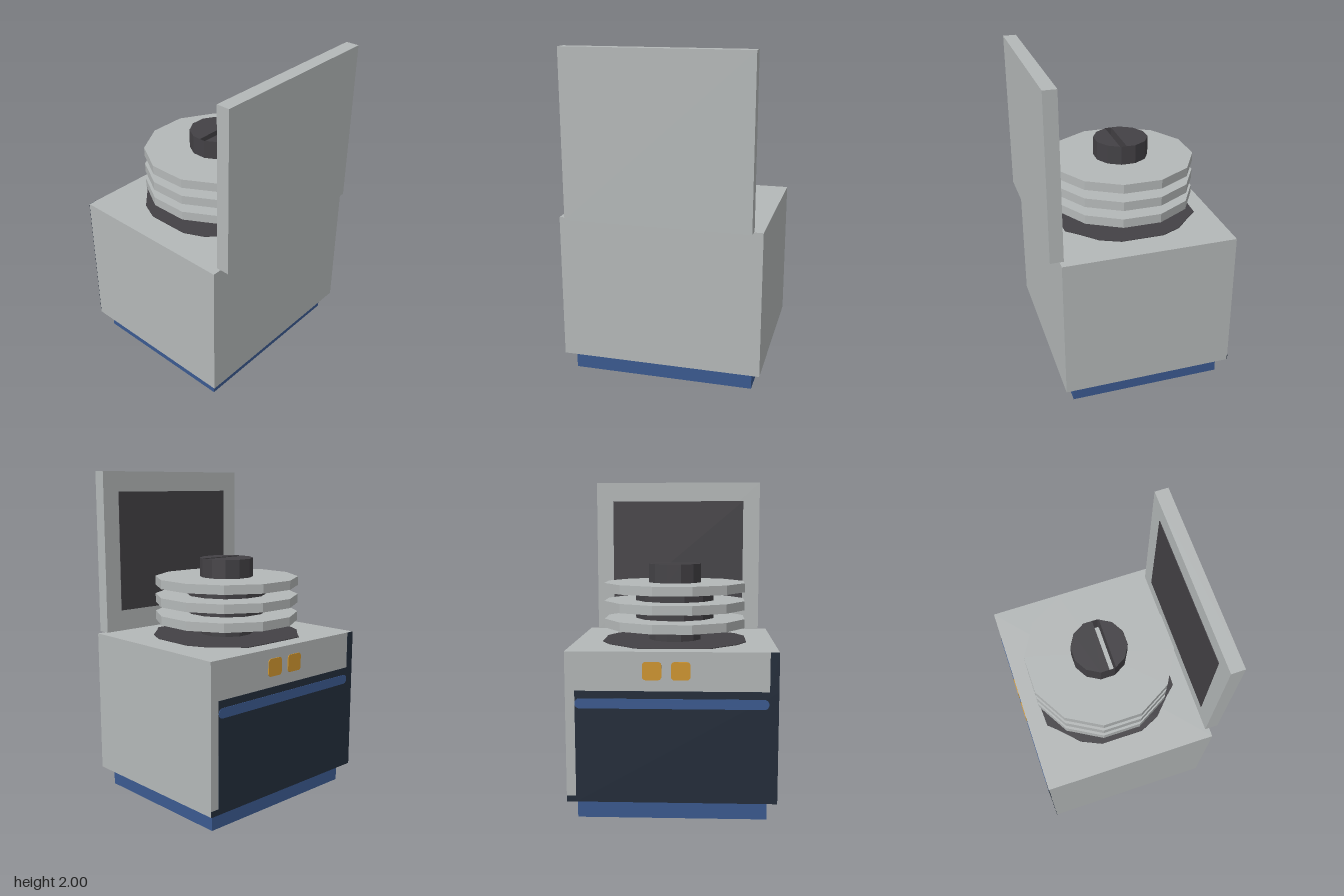
import * as THREE from 'three';

const mat = (name, color) => {
  const m = new THREE.MeshStandardMaterial({ color, side: THREE.DoubleSide, flatShading: true });
  m.name = name;
  return m;
};

export function createModel() {
  const grey = mat('light grey', 0xb4b8b8);
  const dark = mat('charcoal', 0x434145);
  const navy = mat('navy', 0x232d3b);
  const blue = mat('blue', 0x3b5a90);
  const amber = mat('amber', 0xd0962f);

  const model = new THREE.Group();
  const add = (name, geo, material, x = 0, y = 0, z = 0) => {
    const mesh = new THREE.Mesh(geo, material);
    mesh.name = name;
    mesh.position.set(x, y, z);
    model.add(mesh);
    return mesh;
  };
  const toShape = pts => new THREE.Shape(pts.map(p => new THREE.Vector2(p[0], p[1])));

  // Box without the listed faces (0 +x, 1 -x, 2 +y, 3 -y, 4 +z, 5 -z)
  const openBox = (w, h, d, skip) => {
    const geo = new THREE.BoxGeometry(w, h, d);
    const index = Array.from(geo.index.array);
    geo.setIndex(index.filter((v, i) => !skip.includes(Math.floor(i / 6))));
    geo.clearGroups();
    return geo;
  };

  // Horizontal slab from an (x, z) outline, rising from its origin
  const slab = (pts, height) => {
    const geo = new THREE.ExtrudeGeometry(toShape(pts.map(([x, z]) => [x, -z])),
      { depth: height, bevelEnabled: false });
    return geo.rotateX(-Math.PI / 2);
  };

  // Hollow cabinet and plinth, open underneath
  add('cabinet', openBox(1.22, 0.885, 1.055, [3]), grey, 0, 0.5575, -0.0275);
  add('plinth', openBox(1.11, 0.115, 0.945, [2, 3]), blue, 0, 0.0575, -0.0275);
  const rim = toShape([[-0.61, -0.5275], [0.61, -0.5275], [0.61, 0.5275], [-0.61, 0.5275]]);
  rim.holes.push(toShape([[-0.555, -0.4725], [-0.555, 0.4725], [0.555, 0.4725], [0.555, -0.4725]]));
  add('cabinetUnderside', new THREE.ShapeGeometry(rim).rotateX(Math.PI / 2), grey, 0, 0.115, -0.0275);

  // Upright lid with its dark inner panel
  add('lid', new THREE.BoxGeometry(1.11, 1, 0.08), grey, 0, 1.5, 0.515);
  add('lidPanel', new THREE.BoxGeometry(0.888, 0.745, 0.006), dark, 0, 1.503, 0.474);

  // Oven door and its margins on the back face
  const back = -0.555;
  const plate = (name, x0, x1, y0, y1, material) =>
    add(name, new THREE.BoxGeometry(x1 - x0, y1 - y0, 0.004), material, (x0 + x1) / 2, (y0 + y1) / 2, back);
  plate('door', -0.61, 0.555, 0.115, 0.773, navy);
  plate('doorSideStrip', -0.61, -0.558, 0.773, 1, navy);
  plate('doorBottomStrip', 0.555, 0.61, 0.115, 0.15, navy);

  const roundedPlate = (name, cx, cy, w, h, r, material) => {
    const s = new THREE.Shape();
    const a = w / 2 - r, b = h / 2 - r;
    s.absarc(a, b, r, 0, Math.PI / 2);
    s.absarc(-a, b, r, Math.PI / 2, Math.PI);
    s.absarc(-a, -b, r, Math.PI, Math.PI * 1.5);
    s.absarc(a, -b, r, Math.PI * 1.5, Math.PI * 2);
    const geo = new THREE.ExtrudeGeometry(s, { depth: 0.006, bevelEnabled: false, curveSegments: 4 });
    add(name, geo, material, cx, cy, back - 0.005);
  };
  roundedPlate('doorHandle', 0, 0.7, 1.11, 0.058, 0.028, blue);
  for (const x of [0.112, -0.053]) roundedPlate('button', x, 0.89, 0.11, 0.105, 0.02, amber);

  // Twelve-sided stack on the cabinet top
  const zc = -0.03;
  const drum = (name, r, y0, y1, material, open = false) => {
    const geo = new THREE.CylinderGeometry(r, r, y1 - y0, 12, 1, open).rotateY(Math.PI / 12);
    add(name, geo, material, 0, (y0 + y1) / 2, zc);
  };
  const quarter = [[0.44, 0.13], [0.385, 0.25], [0.275, 0.355], [0.22, 0.415], [0.1, 0.42]];
  const half = [...quarter, ...quarter.map(([x, z]) => [-x, z]).reverse()];
  add('stackShadowPlate', slab([...half, ...half.map(([x, z]) => [x, -z]).reverse()], 0.004), dark, 0, 1, zc);
  drum('lowerShaft', 0.166, 1, 1.085, dark);
  drum('hub', 0.248, 1.14, 1.305, dark);
  for (const y of [1.085, 1.195, 1.305]) drum('disc', 0.445, y, y + 0.055, grey);

  // Slotted knob: a thin wall around two solid halves
  drum('knobWall', 0.166, 1.36, 1.475, dark, true);
  const mirrored = pts => [...pts, ...pts.map(([x, z]) => [-x, z]).reverse()];
  add('knobHalf', slab(mirrored([[0.16, 0.01], [0.16, -0.043], [0.117, -0.117], [0.043, -0.16]]), 0.115), dark, 0, 1.36, zc);
  add('knobHalf', slab(mirrored([[0.156, 0.05], [0.117, 0.117], [0.043, 0.16]]), 0.115), dark, 0, 1.36, zc);

  return model;
}
